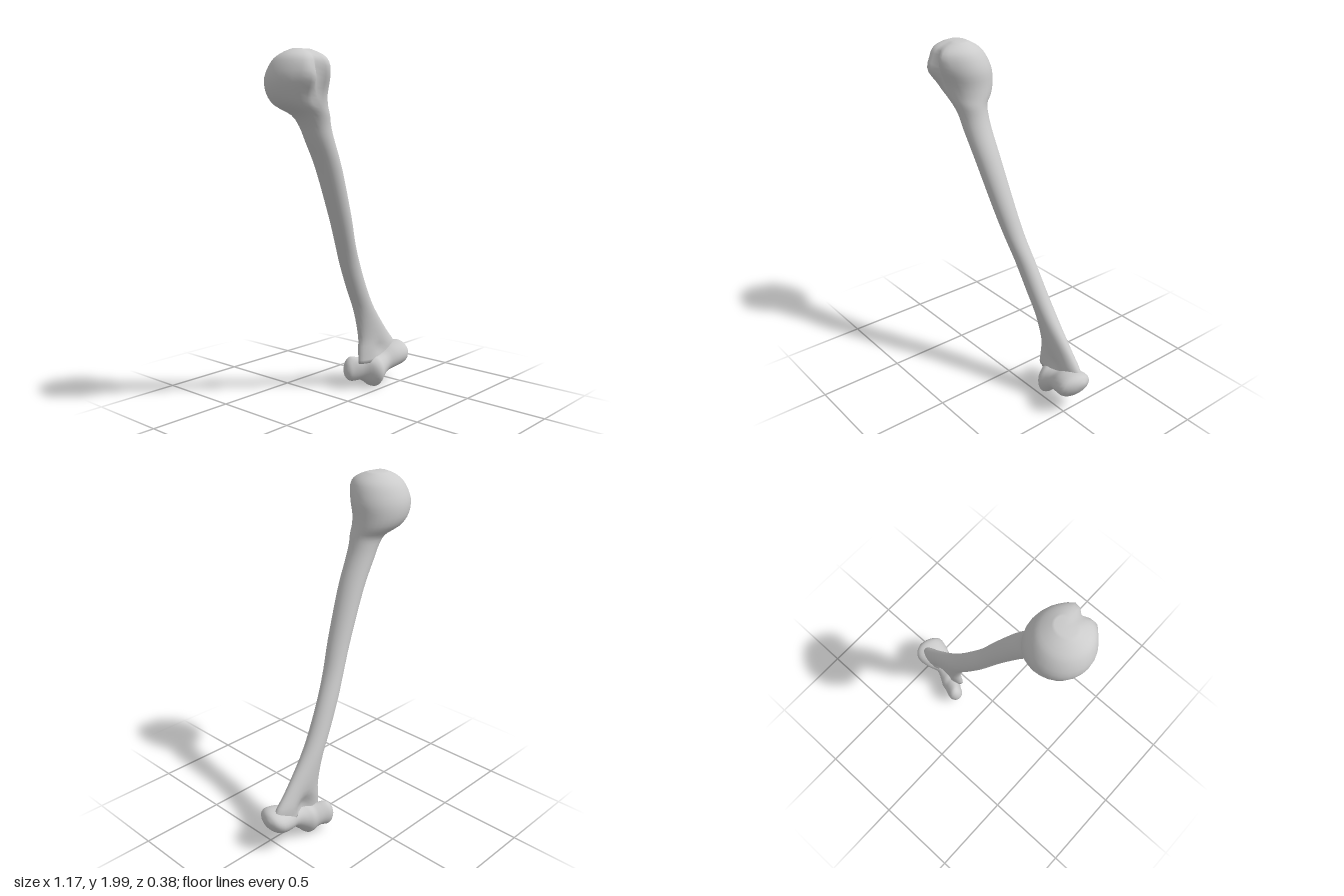
import * as THREE from 'three';

const SIDES = 28, STEPS = 3;
const material = new THREE.MeshStandardMaterial({ color: 0xcccccc });

// Smoothly subdivide a table of section rows (Catmull-Rom on every column)
function refine(rows) {
  const out = [], last = rows.length - 1;
  for (let i = 0; i < last; i++) {
    const p = rows[Math.max(i - 1, 0)], a = rows[i], b = rows[i + 1], q = rows[Math.min(i + 2, last)];
    for (let s = 0; s < STEPS; s++) {
      const t = s / STEPS;
      out.push(a.map((v, k) => {
        const m0 = (b[k] - p[k]) / 2, m1 = (q[k] - v) / 2, d = b[k] - v;
        return v + t * (m0 + t * (3 * d - 2 * m0 - m1 + t * (m0 + m1 - 2 * d)));
      }));
    }
  }
  out.push(rows[last]);
  return out;
}

// Skin closed rings of points, with a centre vertex capping each end
function loft(name, rings) {
  const n = SIDES, pos = [], index = [];
  rings.forEach(r => r.forEach(p => pos.push(p.x, p.y, p.z)));
  const start = rings.length * n, end = start + 1;
  [rings[0], rings[rings.length - 1]].forEach(r => {
    const c = r.reduce((s, p) => s.add(p), new THREE.Vector3()).divideScalar(n);
    pos.push(c.x, c.y, c.z);
  });
  for (let j = 0; j < n; j++) {
    const k = (j + 1) % n, e = (rings.length - 1) * n;
    index.push(start, k, j, e + j, e + k, end);
    for (let i = 0; i < rings.length - 1; i++) {
      const a = i * n + j, b = i * n + k;
      index.push(a, b, a + n, b, b + n, a + n);
    }
  }
  const g = new THREE.BufferGeometry();
  g.setAttribute('position', new THREE.Float32BufferAttribute(pos, 3));
  g.setIndex(index);
  g.computeVertexNormals();
  const mesh = new THREE.Mesh(g, material);
  mesh.name = name;
  return mesh;
}

const ring = fn => Array.from({ length: SIDES }, (_, j) => {
  const a = j / SIDES * Math.PI * 2;
  return fn(Math.cos(a), Math.sin(a));
});

// Ball head, shaft and flared lower end: y, left x, right x, back z, front z
const shaftRows = [
  [1.995, -0.46, -0.35, -0.01, 0.08],
  [1.97, -0.52, -0.305, -0.06, 0.14],
  [1.93, -0.56, -0.265, -0.11, 0.175],
  [1.85, -0.585, -0.235, -0.15, 0.175],
  [1.77, -0.565, -0.23, -0.153, 0.15],
  [1.71, -0.52, -0.222, -0.127, 0.133],
  [1.66, -0.43, -0.213, -0.073, 0.118],
  [1.6, -0.375, -0.2, -0.06, 0.105],
  [1.52, -0.33, -0.17, -0.058, 0.1],
  [1.37, -0.245, -0.1, -0.06, 0.087],
  [1.1, -0.12, 0.01, -0.075, 0.053],
  [0.945, -0.05, 0.07, -0.09, 0.027],
  [0.8, 0.015, 0.145, -0.108, 0],
  [0.63, 0.1, 0.235, -0.125, -0.018],
  [0.5, 0.165, 0.32, -0.134, -0.03],
  [0.336, 0.207, 0.457, -0.137, -0.04],
  [0.25, 0.205, 0.53, -0.14, -0.035],
  [0.17, 0.2, 0.545, -0.13, -0.035],
];

// Local pushes along z: side (+1 front, -1 back), x, y, radius x, radius y, amount
const pushes = [
  [1, -0.468, 1.84, 0.035, 0.06, 0.035],  // lesser tubercle
  [1, -0.415, 1.87, 0.03, 0.12, -0.04],   // groove
  [1, -0.35, 1.9, 0.04, 0.07, 0.02],      // greater tubercle
  [-1, 0.34, 0.22, 0.055, 0.07, 0.05],    // rear fossa
  [1, 0.36, 0.24, 0.05, 0.05, -0.02],     // front fossa
];

function sculpt(p, zMid) {
  const { x, y } = p, side = Math.sign(p.z - zMid);
  for (const [s, cx, cy, rx, ry, amount] of pushes) {
    if (s === side) p.z += amount * Math.exp(-(((x - cx) / rx) ** 2) - ((y - cy) / ry) ** 2);
  }
  return p;
}

// Joint at the lower end, swept along x: x, y, z, radius y, radius z
const jointRows = [
  [0.156, 0.118, -0.15, 0.012, 0.01],
  [0.168, 0.12, -0.15, 0.05, 0.032],
  [0.2, 0.125, -0.148, 0.076, 0.05],
  [0.245, 0.122, -0.122, 0.07, 0.062],
  [0.275, 0.112, -0.088, 0.08, 0.085],
  [0.305, 0.105, -0.072, 0.097, 0.092],
  [0.34, 0.122, -0.065, 0.08, 0.078],
  [0.39, 0.147, -0.057, 0.065, 0.066],
  [0.45, 0.17, -0.057, 0.074, 0.09],
  [0.52, 0.185, -0.056, 0.072, 0.1],
  [0.563, 0.2, -0.068, 0.047, 0.065],
  [0.582, 0.206, -0.075, 0.012, 0.015],
];

export function createModel() {
  const group = new THREE.Group();
  group.name = 'armBone';

  group.add(loft('headAndShaft', refine(shaftRows).map(([y, l, r, b, f]) =>
    ring((c, s) => sculpt(
      new THREE.Vector3((l + r) / 2 + (r - l) / 2 * c, y, (b + f) / 2 + (f - b) / 2 * s), (b + f) / 2)))));

  group.add(loft('elbowJoint', refine(jointRows).map(([x, y, z, ry, rz]) =>
    ring((c, s) => new THREE.Vector3(x, y + ry * c, z + rz * s)))));

  return group;
}
